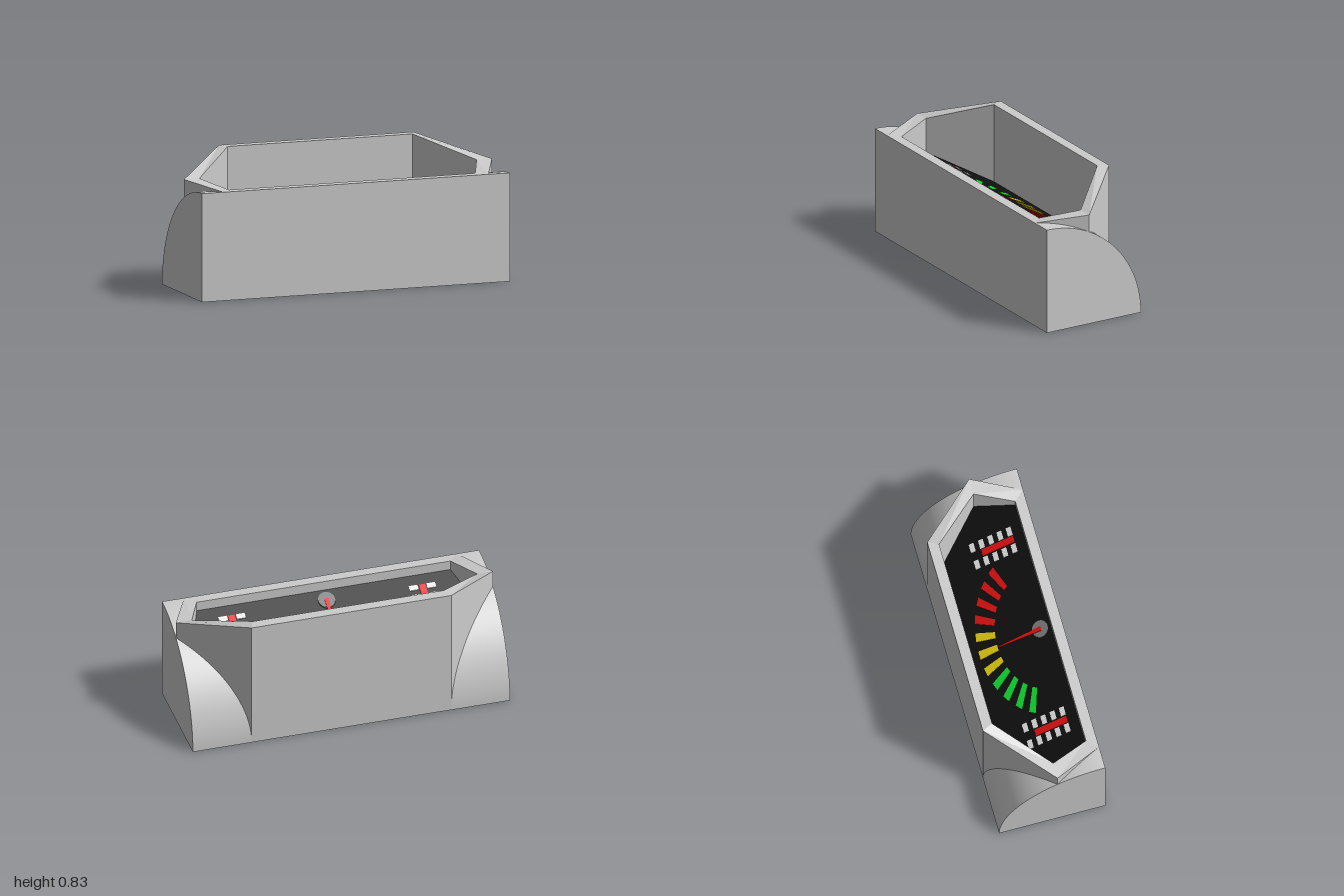
import * as THREE from 'three';

const D = 0.333, H = 0.667, MID = 0.033;
const BREAK = Math.asin((D - MID) / H);
const mat = (name, color) => {
  const m = new THREE.MeshStandardMaterial({ color });
  m.name = name;
  return m;
};

// Flat quads, each listed counter-clockwise from outside
function quads(list) {
  const p = [];
  for (const [a, b, c, d] of list) for (const v of [a, b, c, a, c, d]) p.push(...v);
  const g = new THREE.BufferGeometry();
  g.setAttribute('position', new THREE.Float32BufferAttribute(p, 3));
  g.computeVertexNormals();
  return g;
}

// Height of the sloping instrument face at depth z
const faceY = z => 0.333 + (z + 0.267) * 0.51;

// Thin plate drawn in plan (x, z) and laid on the sloping face
function plate(points, lift, thick) {
  const shape = new THREE.Shape(points.map(([x, z]) => new THREE.Vector2(x, -z)));
  const g = new THREE.ExtrudeGeometry(shape, { depth: thick, bevelEnabled: false });
  g.rotateX(-Math.PI / 2);
  const p = g.attributes.position;
  for (let i = 0; i < p.count; i++) p.setY(i, p.getY(i) + faceY(p.getZ(i)) + lift);
  g.computeVertexNormals();
  return g;
}
const rect = (x, z, w, d) => [
  [x - w / 2, z + d / 2], [x + w / 2, z + d / 2], [x + w / 2, z - d / 2], [x - w / 2, z - d / 2]];

// Half-width of the hood outline at depth z
const hoodX = z => z > MID
  ? 1 - 0.14 * (z - MID) / (D - MID)
  : 1 - 0.37 * (MID - z) / (D + MID);

// Curved shoulder between the hood and one end, over an angle range
function shoulder(side, t0, t1, n) {
  const g = new THREE.PlaneGeometry(1, 1, 1, n);
  const p = g.attributes.position, nor = g.attributes.normal;
  for (let i = 0; i < p.count; i++) {
    const u = p.getX(i) + 0.5, t = t0 + (t1 - t0) * (p.getY(i) + 0.5);
    const z = D - H * Math.sin(t), w = Math.min(1, hoodX(z));
    const x = side > 0 ? w + (1 - w) * u : -1 + (1 - w) * u;
    p.setXYZ(i, x, H * Math.cos(t), z);
    nor.setXYZ(i, 0, Math.cos(t), -Math.sin(t));
  }
  return g;
}

export function createModel() {
  const model = new THREE.Group();
  model.name = 'instrumentPod';
  const grey = mat('case grey', 0xcccccc);
  const black = mat('face black', 0x0f0f0f);
  const white = mat('mark white', 0xf0f0f0);
  const red = mat('signal red', 0xe31212);
  const green = mat('signal green', 0x10e030);
  const yellow = mat('signal yellow', 0xe6d012);
  const hubGrey = mat('hub grey', 0x7c7c7c);
  const add = (name, geometry, material, parent = model) => {
    const m = new THREE.Mesh(geometry, material);
    m.name = name;
    parent.add(m);
    return m;
  };

  // Case: front, base, quarter-round ends and shoulders
  add('frontPanel', quads([[[-1, 0, D], [1, 0, D], [1, H, D], [-1, H, D]]]), grey);
  add('base', quads([[[-1, 0, -D], [1, 0, -D], [1, 0, D], [-1, 0, D]]]), grey);
  for (const s of [1, -1]) {
    const tag = s > 0 ? 'left' : 'right';
    const pts = [new THREE.Vector2(-s * D, 0)];
    for (let i = 0; i <= 48; i++) {
      const t = (i / 48) * Math.PI / 2;
      pts.push(new THREE.Vector2(-s * (D - H * Math.sin(t)), H * Math.cos(t)));
    }
    const end = new THREE.ShapeGeometry(new THREE.Shape(pts));
    end.rotateY(s * Math.PI / 2).translate(s, 0, 0);
    add(tag + 'End', end, grey);
    add(tag + 'FrontShoulder', shoulder(s, 0, BREAK, 16), grey);
    add(tag + 'BackShoulder', shoulder(s, BREAK, Math.PI / 2, 32), grey);
  }

  // Hood: six-sided wall around the instrument face
  const mirror = a => [...a, ...a.map(([x, y, z]) => [-x, y, z]).reverse()];
  const outer = mirror([[0.86, H, D], [1, 0.705, MID], [0.63, 0.833, -D]]);
  const inner = mirror([[0.8, H, 0.267], [0.9, 0.705, MID], [0.6, 0.833, -0.267]]);
  const foot = ([x, , z]) => [x, 0, z];
  const onFace = ([x, , z]) => [x, faceY(z), z];
  const rim = [], outside = [], inside = [];
  for (let i = 0; i < 6; i++) {
    const j = (i + 1) % 6;
    rim.push([outer[i], outer[j], inner[j], inner[i]]);
    if (i < 5) outside.push([foot(outer[i]), foot(outer[j]), outer[j], outer[i]]);
    inside.push([onFace(inner[j]), onFace(inner[i]), inner[i], inner[j]]);
  }
  add('hoodRim', quads(rim), grey);
  add('hoodOuterWall', quads(outside), grey);
  add('hoodInnerWall', quads(inside), grey);

  // Instrument face and its markings
  const dial = new THREE.Group();
  dial.name = 'instruments';
  model.add(dial);
  add('face', plate(inner.map(([x, , z]) => [x, z]), -0.006, 0.006), black, dial);

  // Arc of coloured segments
  for (let i = 0; i < 11; i++) {
    const a = THREE.MathUtils.degToRad(152 - 12.4 * i);
    const at = (k, t) => [0.46 * k * Math.cos(t), 0.2 - 0.325 * k * Math.sin(t)];
    const pts = [at(0.815, a + 0.052), at(0.815, a - 0.052), at(1.17, a - 0.052), at(1.17, a + 0.052)];
    add('arcSegment', plate(pts, 0, 0.004), i < 4 ? green : i < 7 ? yellow : red, dial);
  }

  // Bar gauges with paired tick marks
  for (const s of [1, -1]) {
    add('gaugeBar', plate(rect(s * 0.602, 0.103, 0.042, 0.2), 0, 0.004), red, dial);
    for (let i = 0; i < 5; i++)
      for (const x of [0.545, 0.656])
        add('gaugeTick', plate(rect(s * x, -0.043 + i * 0.058, 0.056, 0.03), 0, 0.004), white, dial);
  }

  // Hub and needle
  const disc = [];
  for (let i = 0; i < 24; i++) {
    const t = (i / 24) * Math.PI * 2;
    disc.push([0.053 * Math.cos(t), 0.2 - 0.048 * Math.sin(t)]);
  }
  add('needleHub', plate(disc, 0, 0.008), hubGrey, dial);
  add('needle', plate([[-0.014, 0.205], [0.014, 0.205], [0.004, -0.06], [-0.004, -0.06]], 0.008, 0.005), red, dial);
  return model;
}
